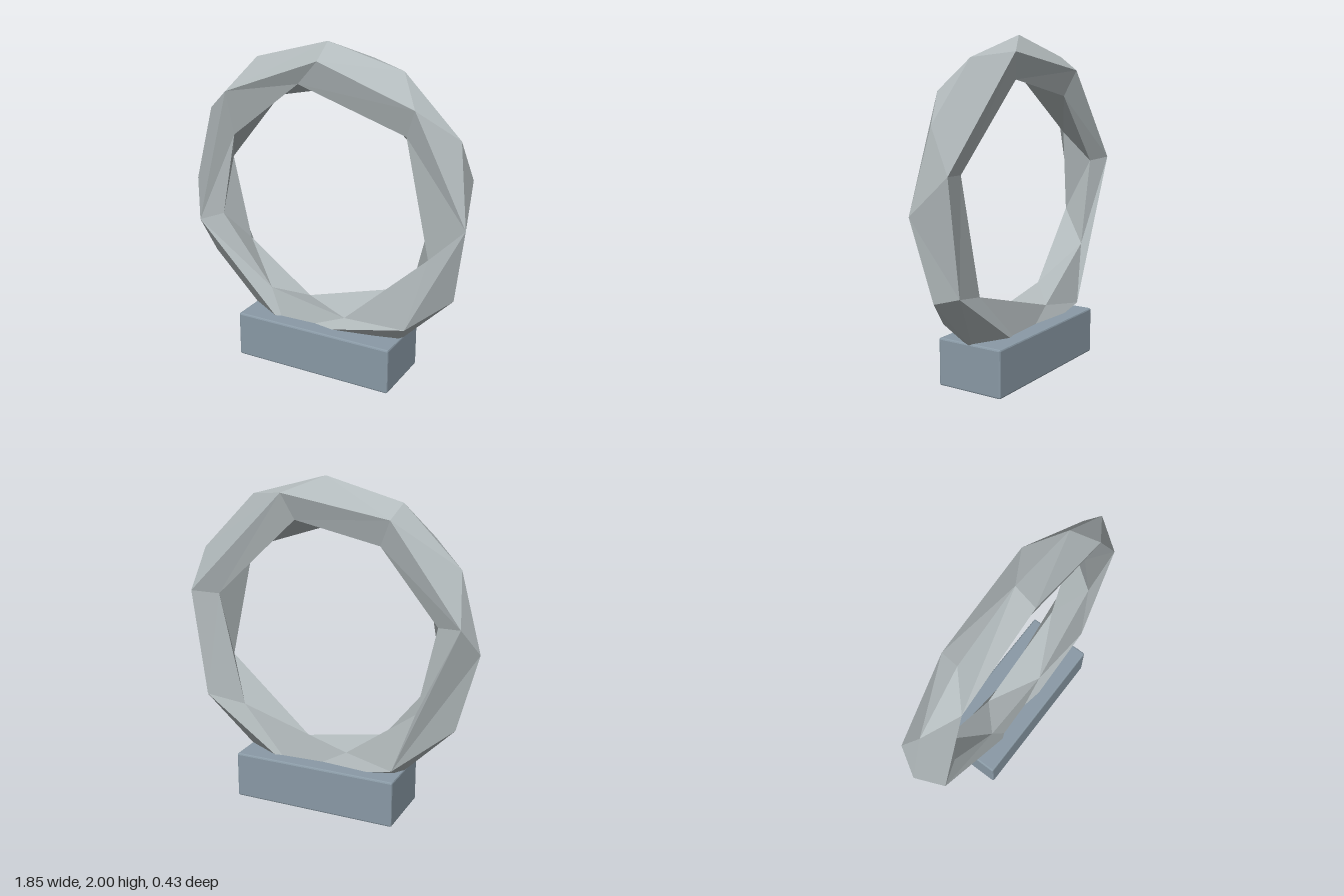
import * as THREE from 'three';
import { RoundedBoxGeometry } from 'three/addons/geometries/RoundedBoxGeometry.js';

const CENTRE_X = 0.02, CENTRE_Y = 1.055;
const TAU = Math.PI * 2;

// A closed loop of points; angles run clockwise from the top, in degrees.
// An entry may be [angle, radius, z] to move a single point.
function loop(radius, z, angles) {
  return angles.map((entry) => {
    const [deg, r, pz] = Array.isArray(entry) ? entry : [entry, radius, z];
    const a = (deg / 360) * TAU;
    return { a, p: [CENTRE_X + r * Math.sin(a), CENTRE_Y + r * Math.cos(a), pz] };
  });
}

// Joins two loops with triangles, always advancing to the nearer next angle.
function stitch(A, B, out) {
  const at = (L, i) => ({ p: L[i % L.length].p, a: L[i % L.length].a + TAU * Math.floor(i / L.length) });
  let i = 0, j = 0;
  while (i < A.length || j < B.length) {
    const a = at(A, i), b = at(B, j), a2 = at(A, i + 1), b2 = at(B, j + 1);
    const stepA = j >= B.length || (i < A.length && a2.a <= b2.a);
    out.push(...a.p, ...b.p, ...(stepA ? a2.p : b2.p));
    if (stepA) i++; else j++;
  }
}

function ringGeometry() {
  // Five loops around a pentagonal tube, unevenly spaced for a cut-stone look
  const pinch = [90, 0.9, 0.09]; // outer rim and front ridge meet here
  const loops = [
    loop(0.945, 0, [0, 30, 60, pinch, 120, 150, 180, 210, 240, 270, 300, 330]),     // outer rim
    loop(0.875, 0.13, [[0, 0.85, 0.13], 43, pinch, 139, 195, 255, 315]),            // front ridge
    loop(0.716, 0.085, [-12, 48, [108, 0.715, 0.07], 167, [210, 0.7, 0.085], 256,
      [299, 0.7, 0.06]]),                                                           // front inner edge
    loop(0.712, -0.085, [13, 73, 133, 194, 238, [282, 0.735, -0.08], [327.5, 0.69, -0.085]]), // back inner edge
    loop(0.88, -0.13, [15, 75.5, 120, 170, 213, 281, [329, 0.86, -0.13]]),          // back ridge
  ];
  const positions = [];
  loops.forEach((L, k) => stitch(L, loops[(k + 1) % loops.length], positions));
  const geometry = new THREE.BufferGeometry();
  geometry.setAttribute('position', new THREE.Float32BufferAttribute(positions, 3));
  geometry.computeVertexNormals();
  return geometry;
}

export function createModel() {
  const group = new THREE.Group();
  group.name = 'ringOnStand';

  // Faceted upright ring
  const ring = new THREE.Mesh(
    ringGeometry(),
    new THREE.MeshStandardMaterial({ color: 0xb2babc, flatShading: true })
  );
  ring.name = 'ring';
  group.add(ring);

  // Block with finely bevelled edges
  const base = new THREE.Mesh(
    new RoundedBoxGeometry(1.03, 0.285, 0.425, 1, 0.01),
    new THREE.MeshStandardMaterial({ color: 0x8a9aa6, flatShading: true })
  );
  base.name = 'base';
  base.position.set(0.018, 0.1425, 0);
  group.add(base);

  return group;
}
